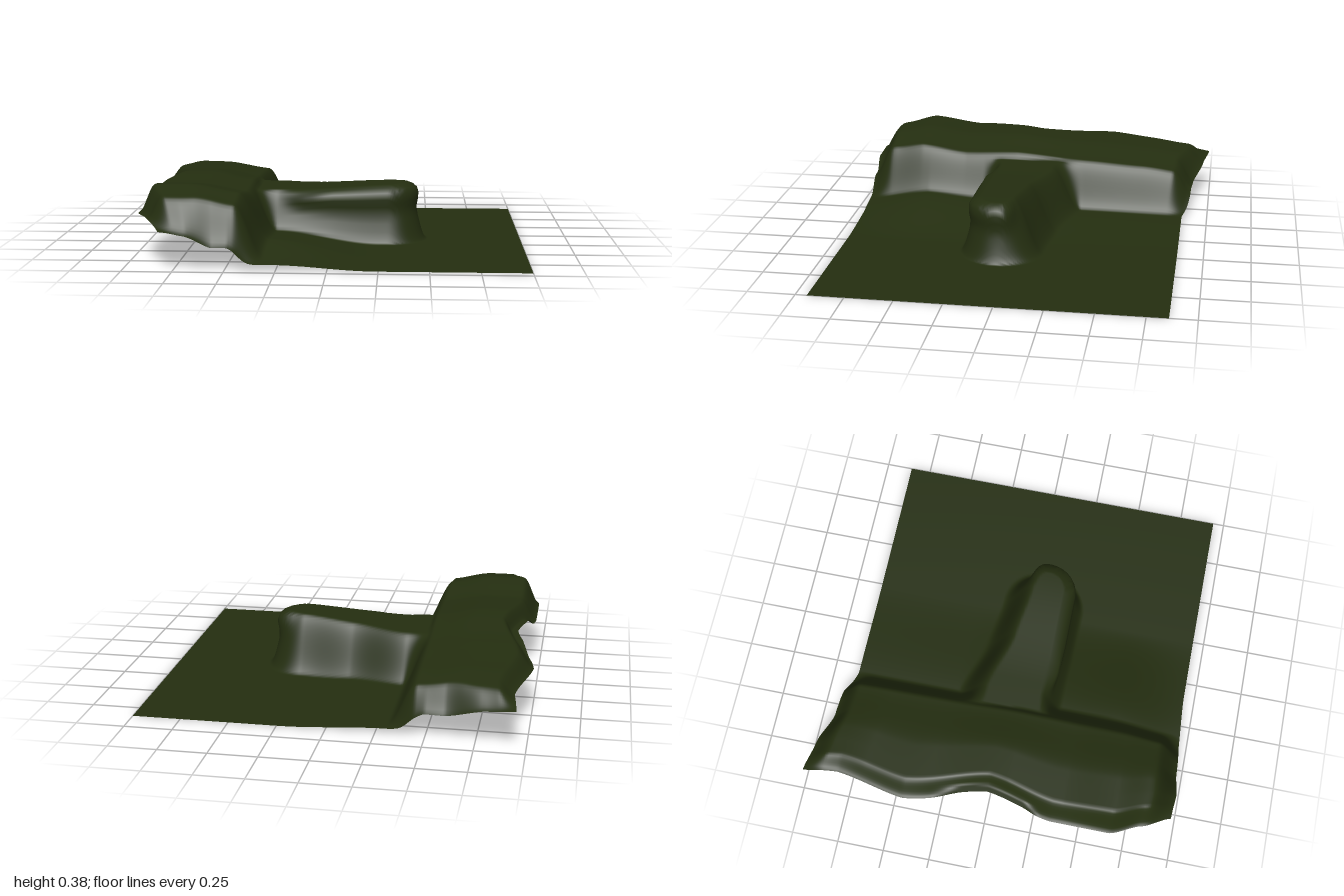
import * as THREE from 'three';

const smooth = THREE.MathUtils.smoothstep;
const lerp = THREE.MathUtils.lerp;

// Smooth curve through [position, value] pairs
function along(points, t) {
  if (t <= points[0][0]) return points[0][1];
  for (let i = 1; i < points.length; i++) {
    const [a, va] = points[i - 1], [b, vb] = points[i];
    if (t <= b) {
      const k = (t - a) / (b - a);
      return lerp(va, vb, 0.5 * k + 0.5 * k * k * (3 - 2 * k));
    }
  }
  return points[points.length - 1][1];
}

// Outline of the ragged edges
const leftEdge = [[-0.86, -0.95], [-0.7, -0.93], [-0.42, -1], [0, -0.89], [0.35, -0.97], [0.65, -0.97], [0.8, -0.9], [0.94, -0.82]];
const backSplay = [[-0.95, -0.13], [-0.78, -0.1], [-0.6, -0.05], [-0.45, -0.04], [-0.3, 0]];
const frontSplay = [[-0.95, 0.03], [-0.78, 0.04], [-0.6, 0.025], [-0.45, 0.02], [-0.1, 0]];

// Heights of the plateau, its lower rims and the apron at the foot of the cliff
const plateauTop = [[-0.86, 0.27], [-0.6, 0.305], [-0.3, 0.325], [0.1, 0.36], [0.4, 0.345], [0.65, 0.38], [0.8, 0.35], [0.94, 0.3]];
const rimHeight = [[-0.95, 0.19], [-0.8, 0.17], [-0.6, 0.11], [-0.5, 0.11], [-0.36, 0.03]];
const apron = [[-0.86, 0.025], [-0.3, 0.03], [0.1, 0.06], [0.3, 0.07], [0.6, 0.09], [0.94, 0.03]];

// Spur running out from the cliff: tapered axis with a round tip
const spurCentre = [[-0.6, 0.01], [-0.3, 0.01], [0, 0.06], [0.28, 0.08]];
const spurRadius = [[-0.6, 0.22], [-0.3, 0.21], [0, 0.17], [0.28, 0.15]];

function landPoint(x, z) {
  // Low ground rising gently to the cliff
  const ground = along(apron, z) * (1 - smooth(x, -0.32, 0.24));

  // Plateau with rounded rims
  let top = along(plateauTop, z) * (1 - 0.12 * smooth(x, -0.7, -0.42));
  const rim = along(rimHeight, x);
  top = lerp(top, Math.min(top, 0.23), smooth(-x, 0.86, 0.95));
  top = lerp(top, Math.min(top, rim), smooth(z, 0.82, 0.95));
  top = lerp(top, Math.min(top, rim + 0.02), smooth(-z, 0.76, 0.87));
  const cliffX = x + 0.02 * smooth(z, 0.3, 0.9);
  const cliff = 1 - smooth(cliffX, -0.45, -0.3);
  let y = lerp(ground, top, cliff);

  // Spur with steep front and tip, softer back
  const dx = Math.max(0, x - 0.28), dz = z - along(spurCentre, x);
  const dist = Math.hypot(dx, dz);
  const d = dist - along(spurRadius, x);
  const soft = dist > 0 ? smooth(-dz / dist, 0.2, 1) : 0;
  const s = 1 - smooth(d, -0.045 - 0.04 * soft, 0.065 + 0.02 * soft);
  const spurTop = lerp(0.28, 0.312, smooth(x, -0.25, 0.4));
  y += Math.max(0, spurTop - y) * s;

  // Slight overhang of the lip
  const lip = 0.035 * smooth(s, 0.5, 0.85) * (1 - smooth(s, 0.93, 1)) * (1 - soft) * smooth(x, -0.32, -0.15);
  const ox = dist > 0 ? lip * dx / dist : 0, oz = dist > 0 ? lip * dz / dist : 0;

  // Ragged outer edges
  const px = x + (along(leftEdge, z) + 0.95) * smooth(-x, 0.4, 0.95);
  const pz = z + along(backSplay, x) * smooth(-z, 0.3, 0.86) + along(frontSplay, x) * smooth(z, 0.4, 0.94);
  return [px + ox, Math.max(0, y), pz + oz];
}

export function createModel() {
  const group = new THREE.Group();
  group.name = 'terrain';
  const mossGreen = new THREE.MeshStandardMaterial({ color: 0x242e10, side: THREE.DoubleSide });
  mossGreen.name = 'dark moss green';

  // One open sheet, shaped by rule
  const geometry = new THREE.PlaneGeometry(1.95, 1.8, 190, 170);
  geometry.rotateX(-Math.PI / 2);
  geometry.translate(0.025, 0, 0.04);
  const pos = geometry.attributes.position;
  for (let i = 0; i < pos.count; i++) pos.setXYZ(i, ...landPoint(pos.getX(i), pos.getZ(i)));
  geometry.computeVertexNormals();

  const land = new THREE.Mesh(geometry, mossGreen);
  land.name = 'landSurface';
  group.add(land);
  return group;
}
